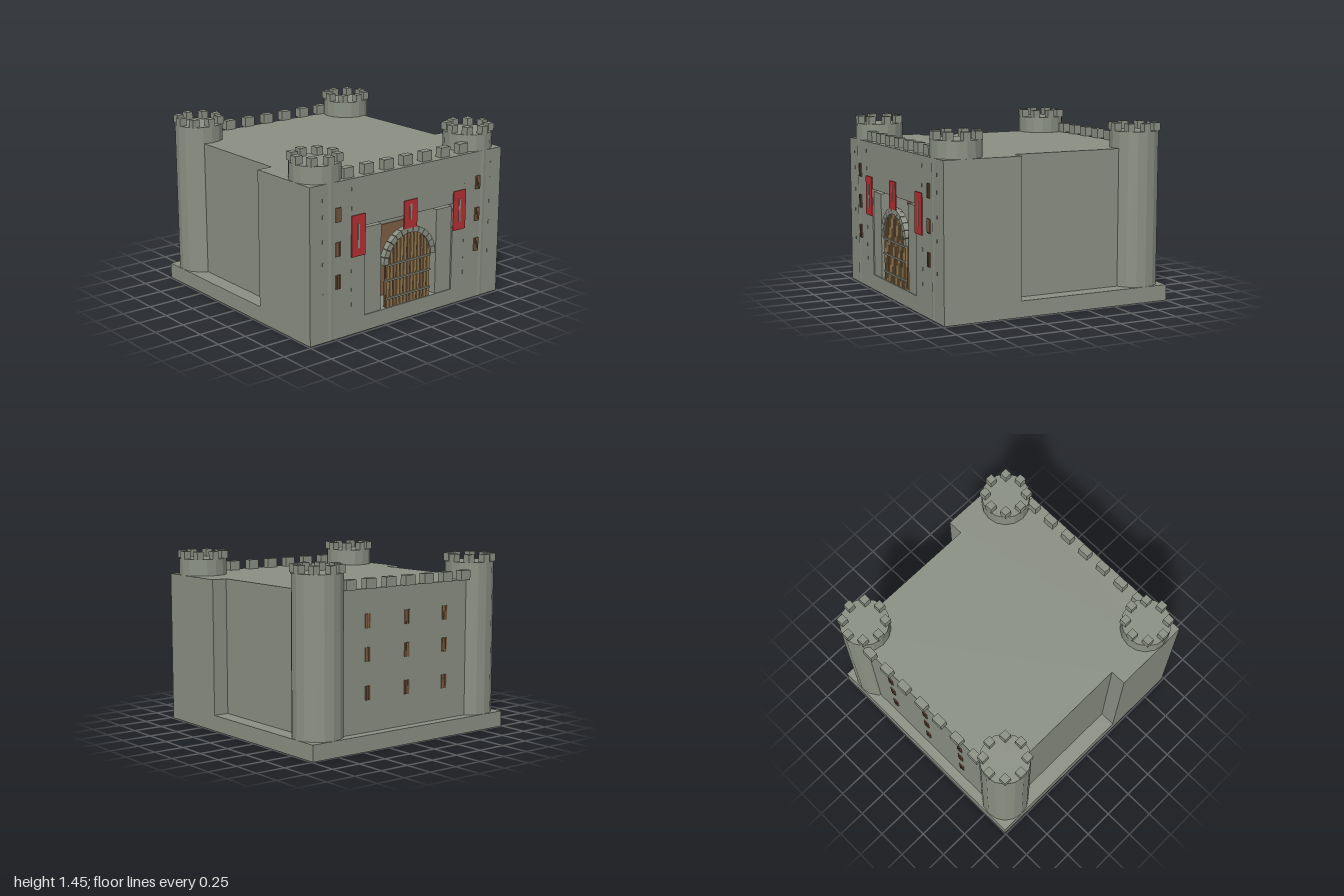
import * as THREE from 'three';

const mat = (name, color) => {
  const m = new THREE.MeshStandardMaterial({ color });
  m.name = name;
  return m;
};

export function createModel() {
  const stone = mat('stone', 0x8b9083);
  const flatStone = stone;
  const red = mat('bannerRed', 0xb53032);
  const brown = mat('wood', 0x7f6046);
  const plankWood = mat('plankWood', 0x94794f);
  const darkWood = mat('darkWood', 0x664a30);
  const root = new THREE.Group();
  root.name = 'castle';

  const add = (name, geo, m, parent = root) => {
    const mesh = new THREE.Mesh(geo, m);
    mesh.name = name;
    parent.add(mesh);
    return mesh;
  };
  // box given by its limits on each axis
  const block = (name, m, x0, x1, y0, y1, z0, z1, parent = root) => {
    const mesh = add(name, new THREE.BoxGeometry(x1 - x0, y1 - y0, z1 - z0), m, parent);
    mesh.position.set((x0 + x1) / 2, (y0 + y1) / 2, (z0 + z1) / 2);
    return mesh;
  };
  const group = (name) => {
    const g = new THREE.Group();
    g.name = name;
    root.add(g);
    return g;
  };
  const extrude = (shape, depth) =>
    new THREE.ExtrudeGeometry(shape, { depth, bevelEnabled: false, curveSegments: 16 });
  const rectPoints = (x0, x1, y0, y1) => [
    new THREE.Vector2(x0, y0), new THREE.Vector2(x1, y0),
    new THREE.Vector2(x1, y1), new THREE.Vector2(x0, y1)];

  // main masses
  block('baseSlab', stone, -0.99, 0.99, 0, 0.13, -1, 0.33);
  block('keep', stone, -0.86, 0.86, 0.13, 1.25, -0.92, 0.33);
  block('gatehouse', stone, -0.99, 0.99, 0, 1.25, 0.33, 0.73);

  // front wall with the gate recess
  const wall = new THREE.Shape(rectPoints(-0.99, 0.99, 0, 1.25));
  wall.holes.push(new THREE.Path(rectPoints(-0.46, 0.46, 0.13, 0.86)));
  add('frontWall', extrude(wall, 0.25), stone).position.z = 0.73;

  // corner towers with a ring of merlons
  for (const sx of [-1, 1]) for (const cz of [-0.797, 0.785]) {
    const tower = group('tower');
    tower.position.set(sx * 0.79, 0, cz);
    const body = add('towerBody', new THREE.CylinderGeometry(0.2, 0.2, 1.385, 16).toNonIndexed(), flatStone, tower);
    body.geometry.computeVertexNormals();
    body.position.y = 0.6945;
    for (let i = 0; i < 8; i++) {
      const a = (i * Math.PI) / 4;
      add('towerMerlon', new THREE.BoxGeometry(0.062, 0.065, 0.062), stone, tower)
        .position.set(Math.cos(a) * 0.17, 1.418, Math.sin(a) * 0.17);
    }
  }

  // merlons along the front and back walls
  const merlons = group('wallMerlons');
  for (const z of [-0.93, 0.917]) for (let i = -3; i <= 3; i++)
    block('merlon', stone, i * 0.198 - 0.049, i * 0.198 + 0.049, 1.25, 1.33, z - 0.031, z + 0.031, merlons);

  // recess pillars, back door and corner panels
  for (const s of [-1, 1]) {
    const c = s * 0.372;
    block('gatePillar', stone, c - 0.083, c + 0.083, 0.13, 0.84, 0.73, 0.972);
    const p = s * 0.26;
    block('cornerPanel', brown, p - 0.03, p + 0.03, 0.73, 0.859, 0.728, 0.736);
  }
  block('innerDoor', brown, -0.23, 0.23, 0.13, 0.73, 0.728, 0.736);

  // arched gate: backing, planks, crossbars and ring of stones
  const gate = group('gate');
  const R = 0.23, springY = 0.49;
  const arch = new THREE.Shape();
  arch.moveTo(-R, 0.13);
  arch.lineTo(R, 0.13);
  arch.lineTo(R, springY);
  arch.absarc(0, springY, R, 0, Math.PI, false);
  arch.closePath();
  add('gateBacking', extrude(arch, 0.02), darkWood, gate).position.z = 0.94;
  const archTop = (x) => springY + Math.sqrt(Math.max(0, R * R - x * x));
  const planks = 13, step = (2 * R) / planks;
  for (let i = 0; i < planks; i++) {
    const x0 = -R + i * step + 0.003, x1 = x0 + step - 0.008;
    const plank = new THREE.Shape([
      new THREE.Vector2(x0, 0.13), new THREE.Vector2(x1, 0.13),
      new THREE.Vector2(x1, archTop(x1)), new THREE.Vector2(x0, archTop(x0))]);
    add('gatePlank', extrude(plank, 0.012), i % 4 === 2 ? brown : plankWood, gate).position.z = 0.96;
  }
  for (const y of [0.205, 0.355, 0.48])
    block('gateBar', stone, -R, R, y - 0.007, y + 0.007, 0.965, 0.98, gate);
  const stones = 13;
  for (let i = 0; i < stones; i++) {
    const a0 = (i / stones) * Math.PI + 0.008, a1 = ((i + 1) / stones) * Math.PI - 0.008;
    const s = new THREE.Shape();
    s.absarc(0, springY, 0.27, a0, a1, false);
    s.absarc(0, springY, 0.222, a1, a0, true);
    s.closePath();
    add('archStone', extrude(s, 0.05), stone, gate).position.z = 0.936;
  }

  // red banners with a pale centre stripe
  const banner = (x, w, y0, y1, s0, s1) => {
    block('banner', red, x - w / 2, x + w / 2, y0, y1, 0.981, 0.989);
    block('bannerStripe', stone, x - 0.009, x + 0.009, s0, s1, 0.988, 0.993);
  };
  banner(-0.528, 0.136, 0.63, 0.96, 0.695, 0.89);
  banner(0.528, 0.136, 0.63, 0.96, 0.695, 0.89);
  banner(0, 0.136, 0.75, 0.98, 0.82, 0.95);

  // shuttered windows, dir is the facing along z
  const shutter = (x, y, z, dir) => {
    const w = group('window');
    w.position.set(x, y, z);
    block('shutter', brown, -0.025, 0.025, -0.056, 0.056, -0.004, 0.004, w);
    for (const bx of [-0.013, 0.006])
      block('shutterSlat', darkWood, bx, bx + 0.007, -0.056, 0.056, dir * 0.005 - 0.002, dir * 0.005 + 0.002, w);
  };
  for (const s of [-1, 1]) for (const y of [0.465, 0.725, 0.995]) shutter(s * 0.727, y, 0.988, 1);
  for (const x of [-0.4, 0, 0.4]) for (const y of [0.44, 0.74, 1.0]) shutter(x, y, -0.923, -1);

  // small raised bricks on the front wall
  for (const s of [-1, 1]) {
    for (const y of [0.25, 0.37, 0.52, 0.66, 1.02, 1.17])
      block('brick', stone, s * 0.59 - 0.004, s * 0.59 + 0.004, y - 0.015, y + 0.015, 0.979, 0.984);
    for (const y of [0.38, 0.63, 0.81, 1.0, 1.13])
      block('brick', stone, s * 0.87 - 0.004, s * 0.87 + 0.004, y - 0.015, y + 0.015, 0.979, 0.984);
  }
  return root;
}
